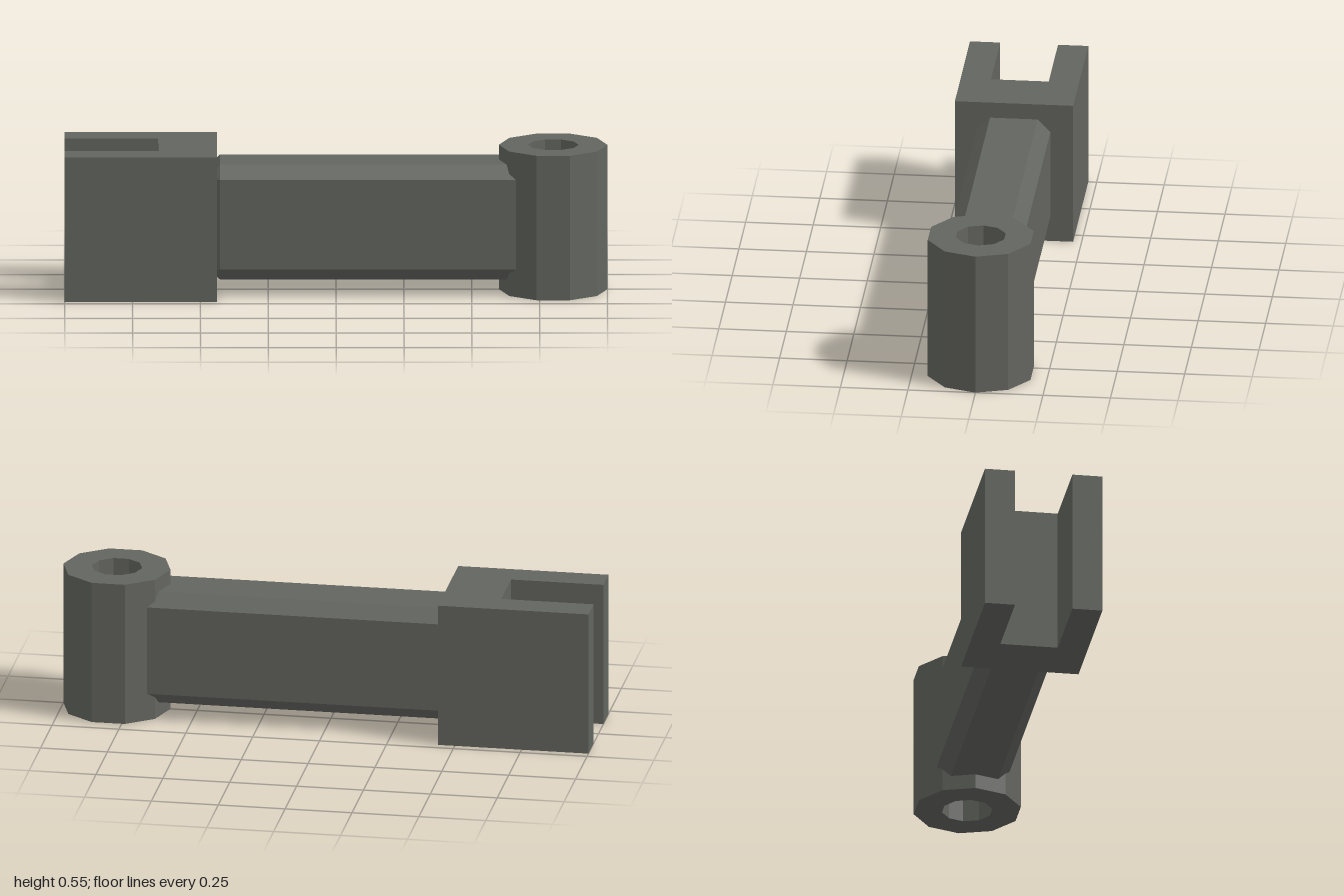
import * as THREE from 'three';
import { ConvexGeometry } from 'three/addons/geometries/ConvexGeometry.js';

const HEIGHT = 0.545;

// Regular polygon outline with a corner on +x
function polygon(radius, sides) {
  return Array.from({ length: sides }, (_, i) => {
    const a = (i / sides) * Math.PI * 2;
    return new THREE.Vector2(Math.cos(a) * radius, Math.sin(a) * radius);
  });
}

// Upright prism from a plan outline
function extrudeUp(shape) {
  const geo = new THREE.ExtrudeGeometry(shape, { depth: HEIGHT, bevelEnabled: false });
  return geo.rotateX(-Math.PI / 2);
}

// Box with every edge chamfered by b
function chamferedBox(w, h, d, b) {
  const points = [];
  for (const sx of [-1, 1]) for (const sy of [-1, 1]) for (const sz of [-1, 1]) {
    const x = w / 2, y = h / 2, z = d / 2;
    points.push(
      new THREE.Vector3(sx * x, sy * (y - b), sz * (z - b)),
      new THREE.Vector3(sx * (x - b), sy * y, sz * (z - b)),
      new THREE.Vector3(sx * (x - b), sy * (y - b), sz * z)
    );
  }
  return new ConvexGeometry(points);
}

export function createModel() {
  const group = new THREE.Group();
  const metal = new THREE.MeshStandardMaterial({ color: 0x63655f });
  metal.name = 'dark grey metal';
  metal.flatShading = true;

  const add = (name, geometry, x, y) => {
    const mesh = new THREE.Mesh(geometry, metal);
    mesh.name = name;
    mesh.position.set(x, y, 0);
    group.add(mesh);
  };

  // Forked block, slot open towards -x
  const fork = new THREE.Shape([
    [-1, -0.219], [-0.438, -0.219], [-0.438, 0.219], [-1, 0.219],
    [-1, 0.107], [-0.655, 0.107], [-0.655, -0.107], [-1, -0.107],
  ].map(([x, z]) => new THREE.Vector2(x, z)));
  add('forkEnd', extrudeUp(fork), 0, 0);

  // Chamfered connecting bar, its ends sunk into both fittings
  add('connectingBar', chamferedBox(1.197, 0.434, 0.272, 0.048), 0.1235, HEIGHT / 2);

  // Ten-sided pivot sleeve with a through hole
  const ring = new THREE.Shape(polygon(0.2, 10));
  ring.holes.push(new THREE.Path(polygon(0.094, 10).reverse()));
  add('pivotSleeve', extrudeUp(ring), 0.8, 0);

  return group;
}
